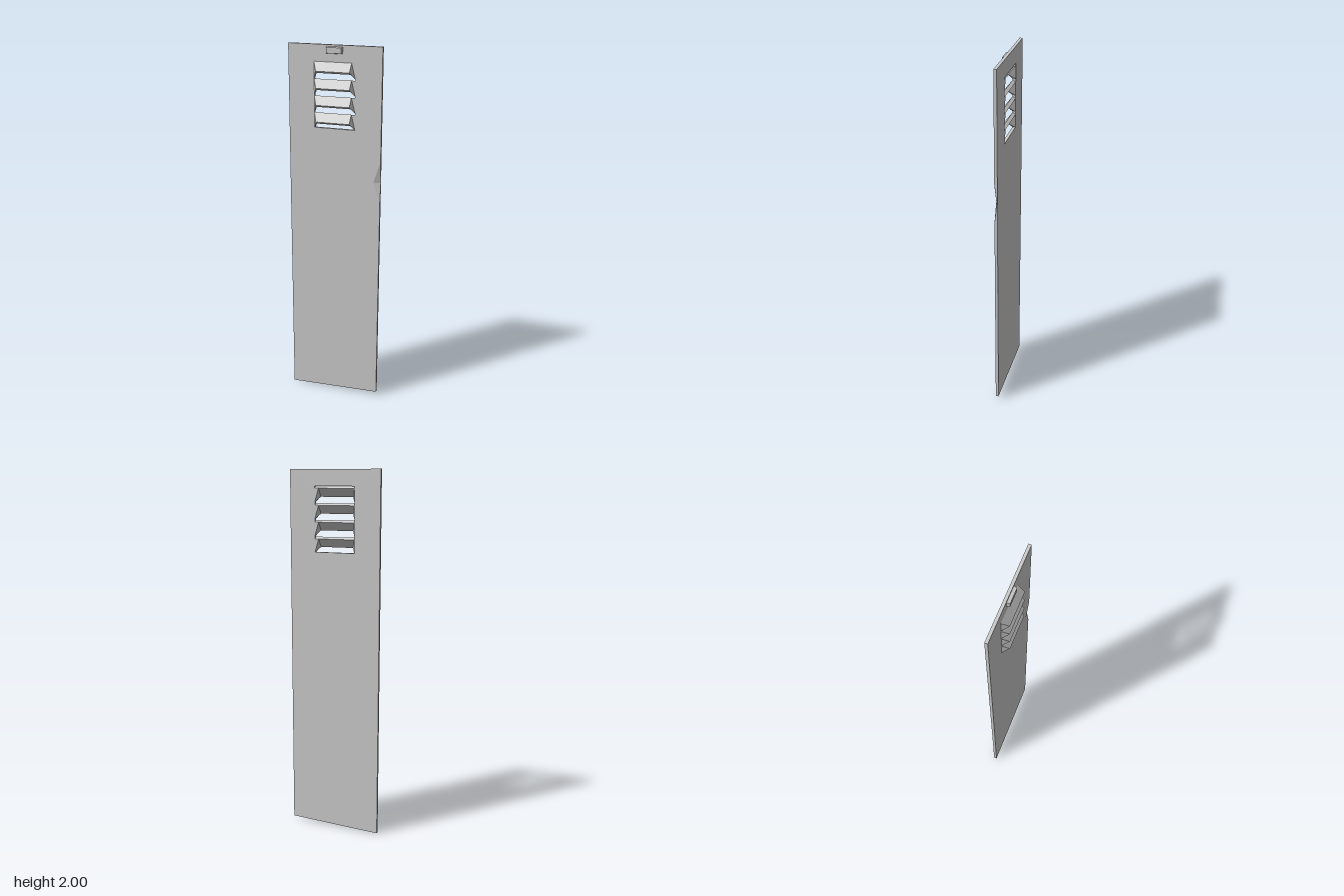
import * as THREE from 'three';

const W = 0.256, BACK = -0.027, FRONT = -0.011;
const material = new THREE.MeshStandardMaterial({ color: 0xcccccc, flatShading: true });
const sheet = new THREE.MeshStandardMaterial({ color: 0xcccccc, flatShading: true, side: THREE.DoubleSide });

// Flat-shaded mesh from corner points and polygon faces (each split as a fan)
function polyMesh(name, points, faces, mat) {
  const pos = [];
  for (const f of faces)
    for (let i = 1; i < f.length - 1; i++) pos.push(...points[f[0]], ...points[f[i]], ...points[f[i + 1]]);
  const g = new THREE.BufferGeometry();
  g.setAttribute('position', new THREE.Float32BufferAttribute(pos, 3));
  g.computeVertexNormals();
  const m = new THREE.Mesh(g, mat);
  m.name = name;
  return m;
}

// Stamped louver: sloping hood with angled cheeks, open underneath
function louver(top) {
  const bottom = top - 0.083, lip = top - 0.045, out = 0.024, wide = 0.113, narrow = 0.092;
  const outer = [
    [-wide, top, FRONT], [-narrow, top, FRONT], [narrow, top, FRONT], [wide, top, FRONT],
    [-wide, bottom, FRONT], [-narrow, lip, out], [narrow, lip, out], [wide, bottom, FRONT],
  ];
  const inner = outer.map(([x, y, z], i) => [x, i === 4 || i === 7 ? y : y - 0.011, z + BACK - FRONT]);
  const faces = [];
  for (let i = 0; i < 3; i++) {
    const [a, b, c, d] = [i, i + 1, i + 5, i + 4];
    faces.push([a, d, c, b]);                     // outer skin
    faces.push([a + 8, b + 8, c + 8, d + 8]);     // inner skin
    faces.push([d, d + 8, c + 8, c]);             // lower rim
    faces.push([a, b, b + 8, a + 8]);             // upper rim
  }
  return polyMesh('louver', [...outer, ...inner], faces, sheet);
}

export function createModel() {
  const group = new THREE.Group();
  group.name = 'lockerDoor';

  // Door panel with slanted bottom, vent opening and a notch for the dent
  const dentTop = 1.407, dentMid = 1.29, dentLow = 1.185, dentX = 0.218;
  const shape = new THREE.Shape([
    [-W, 0], [W, 0.022], [W, dentLow], [dentX, dentMid], [W, dentTop], [W, 2], [-W, 2],
  ].map(p => new THREE.Vector2(...p)));
  shape.holes.push(new THREE.Path([
    [-0.113, 1.565], [-0.113, 1.912], [0.113, 1.912], [0.113, 1.565],
  ].map(p => new THREE.Vector2(...p))));
  const panel = new THREE.Mesh(
    new THREE.ExtrudeGeometry(shape, { depth: FRONT - BACK, bevelEnabled: false }), material);
  panel.position.z = BACK;
  panel.name = 'doorPanel';
  group.add(panel);

  // Pushed-in dent on the edge
  group.add(polyMesh('edgeDent', [
    [W, dentTop, FRONT], [dentX, dentMid, FRONT], [W, dentLow, FRONT], [W, dentMid, -0.024],
    [W, dentTop, BACK], [dentX, dentMid, BACK], [W, dentLow, BACK],
  ], [[0, 1, 3], [1, 2, 3], [4, 6, 5], [3, 2, 6], [3, 6, 4], [3, 4, 0]], material));

  // Vent louvers
  const vents = new THREE.Group();
  vents.name = 'ventLouvers';
  for (let i = 0; i < 4; i++) vents.add(louver(1.912 - i * 0.0885));
  group.add(vents);

  // Small tapered label block at the top
  const block = new THREE.BoxGeometry(0.088, 0.036, 0.016);
  const p = block.attributes.position;
  for (let i = 0; i < p.count; i++)
    if (p.getZ(i) > 0) p.setXY(i, p.getX(i) * 0.93, p.getY(i) * 0.82);
  block.computeVertexNormals();
  const plate = new THREE.Mesh(block, material);
  plate.position.set(0, 1.973, -0.003);
  plate.name = 'labelPlate';
  group.add(plate);

  return group;
}
